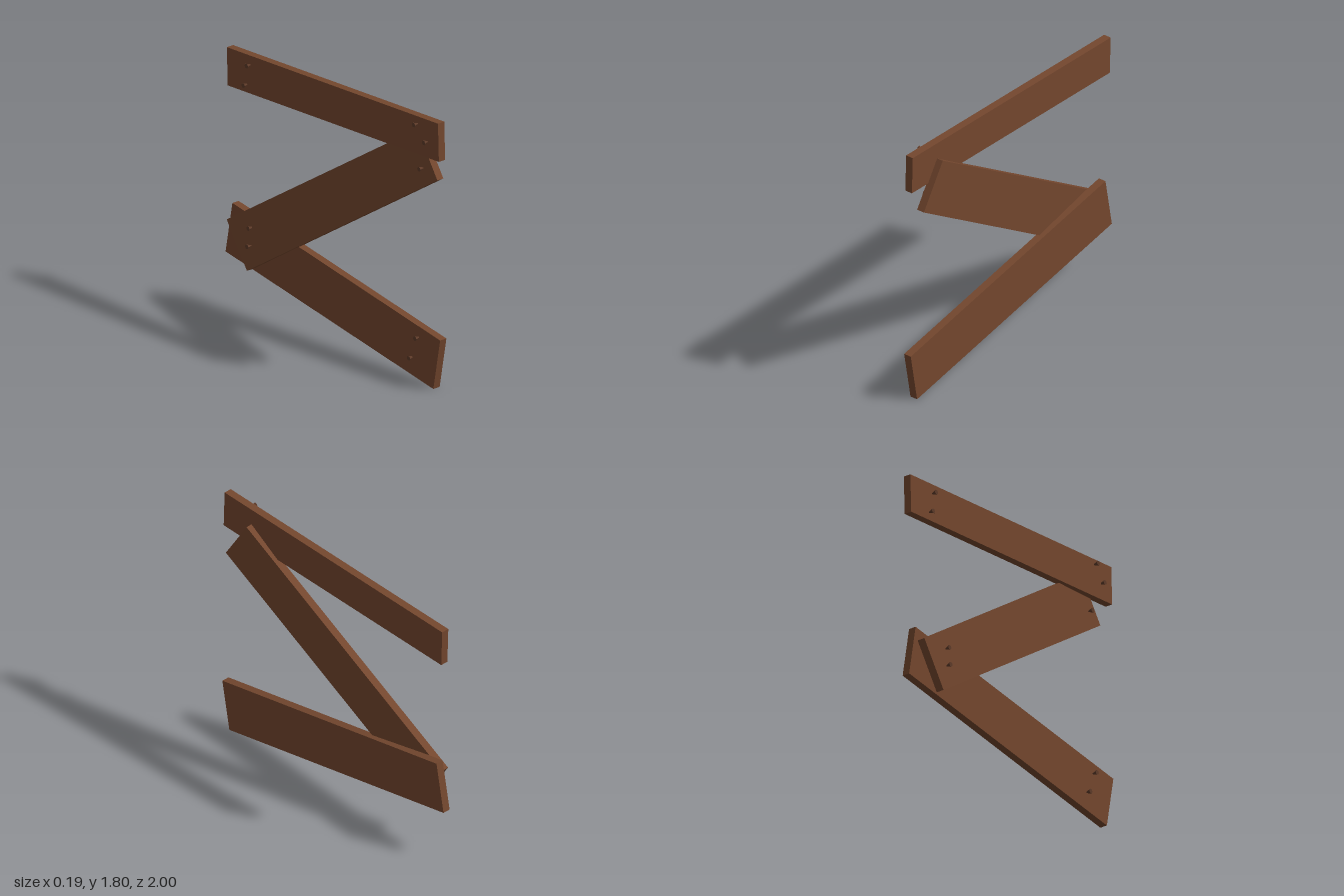
import * as THREE from 'three';

export function createModel() {
  const model = new THREE.Group();
  const wood = new THREE.MeshStandardMaterial({ color: 0x74472e });
  wood.name = 'brown wood';
  const iron = new THREE.MeshStandardMaterial({ color: 0x5e3b29 });
  iron.name = 'dark rusty brown';

  // Planks run along z: pitch tips them up or down, yaw leans them sideways.
  function plank(name, width, length, x, y, pitch, yaw = 0) {
    const mesh = new THREE.Mesh(new THREE.BoxGeometry(0.053, width, length), wood);
    mesh.name = name;
    mesh.position.set(x, y, 0);
    mesh.rotation.set(pitch, yaw, 0);
    model.add(mesh);
  }
  plank('topPlank', 0.255, 1.967, 0.021, 1.64, -0.033);
  plank('diagonalPlank', 0.346, 1.977, 0.013, 1.0, -0.573, 0.0525);
  plank('bottomPlank', 0.35, 1.967, 0.021, 0.352, 0.1815);

  // Nails: small six-sided cones, wide head outward, point towards the wood.
  const nailShape = new THREE.CylinderGeometry(0.016, 0.004, 0.036, 6).toNonIndexed();
  nailShape.rotateZ(Math.PI / 2);
  nailShape.computeVertexNormals();
  const nails = new THREE.Group();
  nails.name = 'nails';
  const spots = [
    [-0.032, 1.75, 0.8], [-0.02, 1.65, 0.88],
    [-0.02, 1.68, -0.77], [-0.02, 1.54, -0.8],
    [0.013, 1.44, 0.8],
    [-0.07, 0.62, -0.7], [-0.08, 0.5, -0.7],
    [-0.022, 0.31, 0.8], [-0.02, 0.16, 0.74],
  ];
  for (const [x, y, z] of spots) {
    const nail = new THREE.Mesh(nailShape, iron);
    nail.name = 'nail';
    nail.position.set(x, y, z);
    nails.add(nail);
  }
  model.add(nails);
  return model;
}
